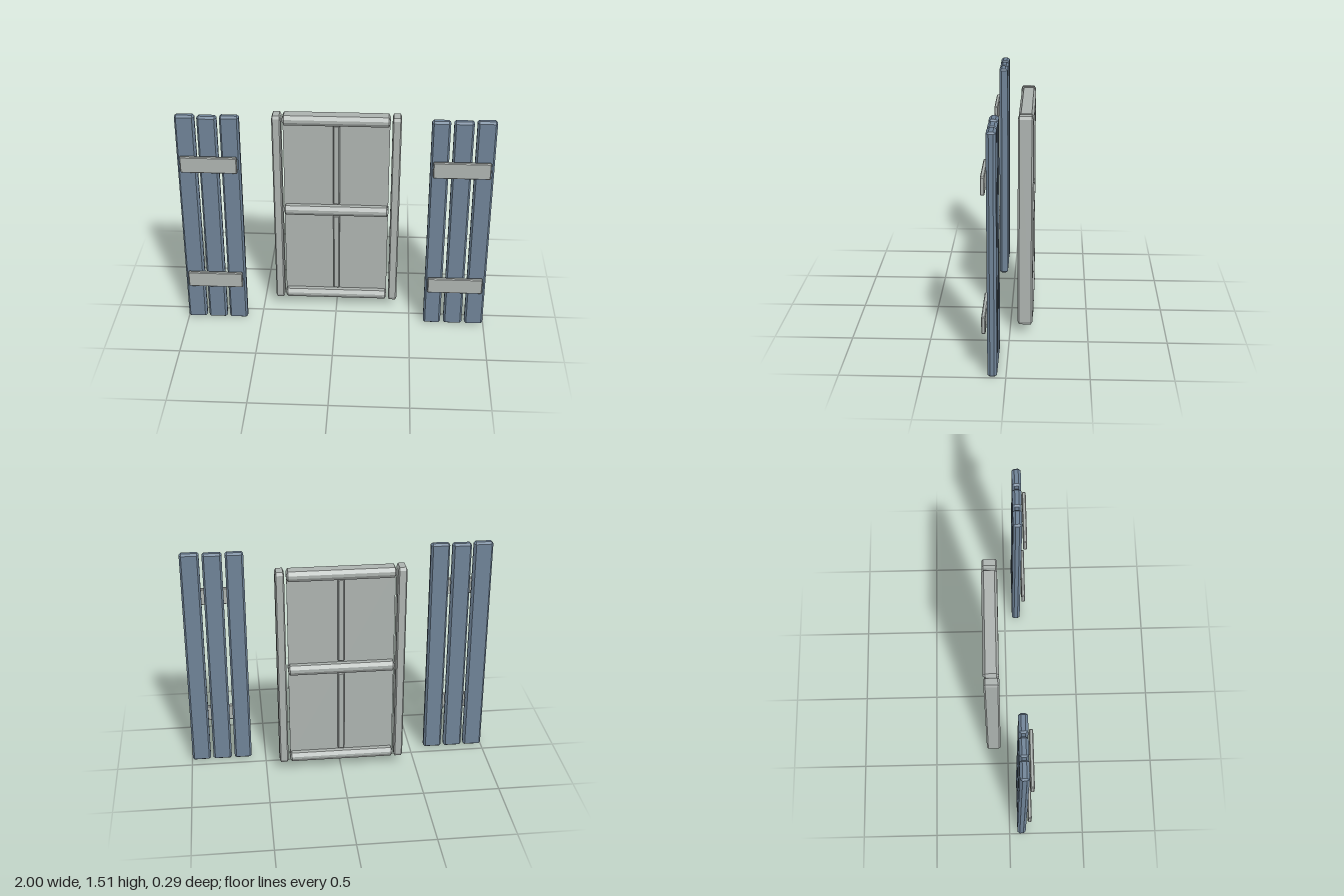
import * as THREE from 'three';
import { ConvexGeometry } from 'three/addons/geometries/ConvexGeometry.js';

const paint = new THREE.MeshStandardMaterial({ name: 'slate blue paint', color: 0x6f8397, flatShading: true });
const wood = new THREE.MeshStandardMaterial({ name: 'pale grey wood', color: 0xadb3b0, flatShading: true });

// Box between two corners, with its edges cut back by (cx, cy, cz)
function beam(parent, name, material, [x0, y0, z0], [x1, y1, z1], [cx, cy, cz]) {
  const hx = (x1 - x0) / 2, hy = (y1 - y0) / 2, hz = (z1 - z0) / 2;
  const points = [];
  for (const sx of [-1, 1]) for (const sy of [-1, 1]) for (const sz of [-1, 1]) {
    points.push(
      new THREE.Vector3(sx * hx, sy * (hy - cy), sz * (hz - cz)),
      new THREE.Vector3(sx * (hx - cx), sy * hy, sz * (hz - cz)),
      new THREE.Vector3(sx * (hx - cx), sy * (hy - cy), sz * hz)
    );
  }
  const mesh = new THREE.Mesh(new ConvexGeometry(points), material);
  mesh.name = name;
  mesh.position.set((x0 + x1) / 2, (y0 + y1) / 2, (z0 + z1) / 2);
  parent.add(mesh);
}

// Three upright boards held by two cross battens
function shutter(name, boards, battenX) {
  const group = new THREE.Group();
  group.name = name;
  boards.forEach(([x0, x1, top], i) => {
    beam(group, `board${i + 1}`, paint, [x0, 0, 0.053], [x1, top, 0.11], [0.012, 0.012, 0.016]);
  });
  [0.272, 1.132].forEach((y, i) => {
    beam(group, i ? 'upperBatten' : 'lowerBatten', wood,
      [battenX, y, 0.12], [battenX + 0.36, y + 0.11, 0.145], [0.005, 0.005, 0.005]);
  });
  return group;
}

function windowFrame() {
  const group = new THREE.Group();
  group.name = 'windowFrame';
  // Upright sides
  for (const [name, x] of [['rightStile', -0.414], ['leftStile', 0.354]]) {
    beam(group, name, wood, [x, 0.07, -0.145], [x + 0.058, 1.445, -0.05], [0.008, 0.02, 0.01]);
  }
  // Horizontal rails with broad bevels
  for (const [name, y0, y1] of [['bottomRail', 0.07, 0.133], ['middleRail', 0.722, 0.79], ['topRail', 1.377, 1.445]]) {
    beam(group, name, wood, [-0.348, y0, -0.148], [0.342, y1, -0.052], [0.012, 0.024, 0.015]);
  }
  // Centre glazing bars
  for (const [name, y0, y1] of [['lowerGlazingBar', 0.14, 0.714], ['upperGlazingBar', 0.8, 1.374]]) {
    beam(group, name, wood, [-0.023, y0, -0.122], [0.02, y1, -0.078], [0.007, 0.007, 0.007]);
  }
  // Flat pane in the middle of the frame
  const pane = new THREE.Mesh(new THREE.BoxGeometry(0.685, 1.33, 0.006), wood);
  pane.name = 'pane';
  pane.position.set(-0.003, 0.757, -0.1);
  group.add(pane);
  return group;
}

export function createModel() {
  const model = new THREE.Group();
  model.name = 'shutteredWindow';
  model.add(
    windowFrame(),
    shutter('rightShutter', [[-1, -0.876, 1.51], [-0.861, -0.738, 1.505], [-0.72, -0.598, 1.51]], -0.977),
    shutter('leftShutter', [[0.595, 0.711, 1.505], [0.731, 0.855, 1.505], [0.873, 0.996, 1.51]], 0.613)
  );
  return model;
}
